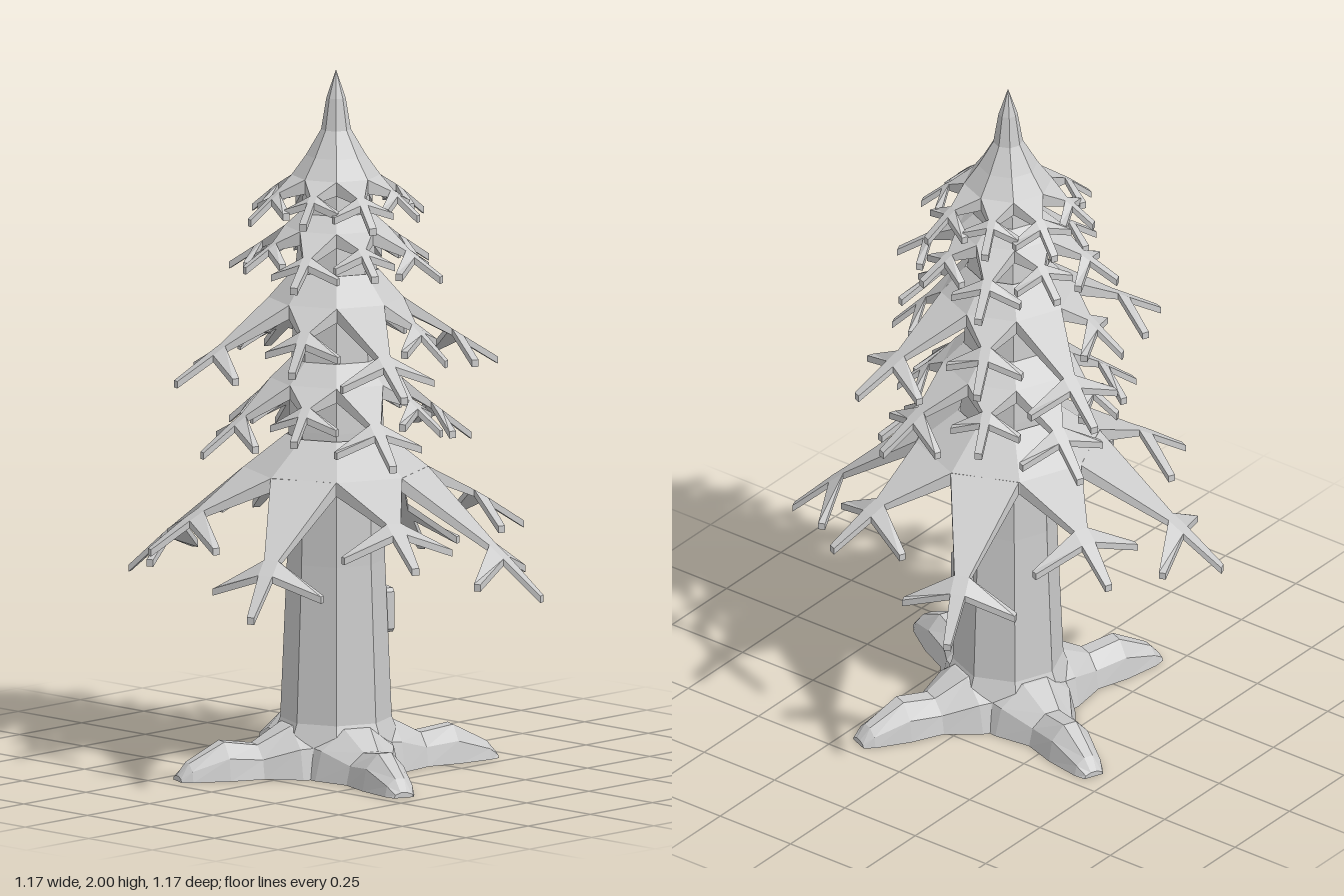
import * as THREE from 'three';

const material = new THREE.MeshStandardMaterial({ color: 0xcccccc, flatShading: true, side: THREE.DoubleSide });
const EIGHTH = Math.PI / 8;

function add(parent, name, geometry) {
  const mesh = new THREE.Mesh(geometry, material);
  mesh.name = name;
  parent.add(mesh);
  return mesh;
}

// Eight-sided turned part from [radius, height] pairs
function turned(points) {
  return new THREE.LatheGeometry(points.map(p => new THREE.Vector2(...p)), 8);
}

// Wedge-shaped bough along +x that narrows and ends in a three-pronged fork
function boughGeometry({ skirt, y, fork, forkY, tip, tipY, span }) {
  const base = skirt * Math.cos(EIGHTH), half = skirt * Math.sin(EIGHTH);
  const w = span * 0.13;
  const side = [
    [base, half], [fork - w, w], [fork - 0.009, span], [fork + 0.011, span],
    [fork + w, w], [tip, 0.011],
  ];
  const outline = [...side.map(([u, v]) => [u, -v]), ...side.slice().reverse()];
  const shape = new THREE.Shape(outline.map(p => new THREE.Vector2(...p)));
  const g = new THREE.ExtrudeGeometry(shape, { depth: 1, bevelEnabled: false });
  g.rotateX(Math.PI / 2);
  // Slope the bough down, let the side prongs droop and thin it outwards
  const pos = g.attributes.position;
  for (let i = 0; i < pos.count; i++) {
    const u = pos.getX(i), v = pos.getZ(i);
    const inner = (u - base) / (fork - base), outer = (u - fork) / (tip - fork);
    let top = u < fork ? y + (forkY - y) * inner : forkY + (tipY - forkY) * outer;
    if (u > fork - 0.012 && Math.abs(v) > w * 1.2) top = forkY - span * 0.42;
    const thick = u < base + 0.01 ? 0.04 : 0.02;
    pos.setY(i, top + pos.getY(i) * thick);
  }
  g.computeVertexNormals();
  return g;
}

// Cross-sections [distance, half width, height] joined into a tapering root
function rootGeometry() {
  const sections = [
    [0.08, 0.15, 0.15], [0.155, 0.13, 0.14], [0.25, 0.075, 0.09],
    [0.35, 0.068, 0.105], [0.455, 0.045, 0.05], [0.485, 0.03, 0.015],
  ];
  const verts = [], index = [];
  for (const [x, w, h] of sections) {
    verts.push(x, 0, -w, x, h * 0.6, -w * 0.85, x, h, -w * 0.3, x, h, w * 0.3, x, h * 0.6, w * 0.85, x, 0, w);
  }
  for (let s = 0; s < sections.length - 1; s++) {
    for (let k = 0; k < 6; k++) {
      const a = s * 6 + k, b = s * 6 + (k + 1) % 6;
      index.push(a, b, a + 6, b, b + 6, a + 6);
    }
  }
  const end = (sections.length - 1) * 6;
  for (let k = 1; k < 5; k++) index.push(end, end + k, end + k + 1);
  const g = new THREE.BufferGeometry();
  g.setAttribute('position', new THREE.Float32BufferAttribute(verts, 3));
  g.setIndex(index);
  g.computeVertexNormals();
  return g;
}

// Chamfered rectangle used by the window frame
function chamfered(Type, w, h, c) {
  const p = [[-w + c, -h], [w - c, -h], [w, -h + c], [w, h - c], [w - c, h], [-w + c, h], [-w, h - c], [-w, -h + c]];
  return new Type(p.map(q => new THREE.Vector2(...q)));
}

export function createModel() {
  const tree = new THREE.Group();
  tree.name = 'tree';

  // Trunk, with a flared foot
  add(tree, 'trunk', turned([
    [0, 0], [0.2, 0], [0.185, 0.08], [0.157, 0.15], [0.138, 0.6], [0.134, 0.98],
    [0.115, 1.43], [0.085, 1.72], [0, 1.72],
  ]));

  // Four spreading roots
  const root = rootGeometry();
  for (let i = 0; i < 4; i++) {
    add(tree, 'root', root).rotation.y = -(EIGHTH + i * Math.PI / 2);
  }

  // Tiers of foliage: a collar round the trunk carrying sets of four boughs
  const tiers = [
    { top: 0.96, neck: 0.14, skirt: 0.26, y: 0.865, sets: [
      { turn: -0.97, fork: 0.497, forkY: 0.66, tip: 0.627, tipY: 0.54, span: 0.165 },
      { turn: 1, fork: 0.435, forkY: 0.76, tip: 0.57, tipY: 0.67, span: 0.165 },
    ] },
    { top: 1.18, neck: 0.125, skirt: 0.185, y: 1.12, sets: [
      { turn: 1, fork: 0.30, forkY: 1.02, tip: 0.41, tipY: 0.935, span: 0.13 },
      { turn: -1, fork: 0.24, forkY: 1.06, tip: 0.32, tipY: 0.99, span: 0.1 },
    ] },
    { top: 1.43, neck: 0.12, skirt: 0.19, y: 1.35, sets: [
      { turn: 1, fork: 0.365, forkY: 1.225, tip: 0.49, tipY: 1.145, span: 0.14 },
      { turn: -1, fork: 0.25, forkY: 1.275, tip: 0.335, tipY: 1.19, span: 0.11 },
    ] },
    { top: 1.6, neck: 0.095, skirt: 0.145, y: 1.555, sets: [
      { turn: -1, fork: 0.23, forkY: 1.49, tip: 0.32, tipY: 1.43, span: 0.1 },
      { turn: 1, fork: 0.2, forkY: 1.51, tip: 0.28, tipY: 1.455, span: 0.09 },
    ] },
    { top: 1.77, neck: 0.075, skirt: 0.125, y: 1.7, sets: [
      { turn: 1, fork: 0.19, forkY: 1.655, tip: 0.265, tipY: 1.59, span: 0.09 },
      { turn: -1, fork: 0.18, forkY: 1.66, tip: 0.25, tipY: 1.6, span: 0.08 },
    ] },
  ];
  for (const { top, neck, skirt, y, sets } of tiers) {
    const tier = new THREE.Group();
    tier.name = 'foliageTier';
    tree.add(tier);
    add(tier, 'collar', turned([[neck - 0.02, y - 0.03], [skirt, y - 0.04], [skirt, y], [neck, top]]));
    for (const set of sets) {
      const bough = boughGeometry({ skirt, y, ...set });
      for (let i = 0; i < 4; i++) {
        add(tier, 'bough', bough).rotation.y = -(set.turn * EIGHTH + i * Math.PI / 2);
      }
    }
  }

  // Pointed crown
  add(tree, 'crown', turned([[0.09, 1.7], [0.1, 1.73], [0.042, 1.83], [0.027, 1.92], [0, 2]]));

  // Small framed window on one face of the trunk
  const windowGroup = new THREE.Group();
  windowGroup.name = 'window';
  windowGroup.position.set(0.116, 0.45, 0.054);
  windowGroup.rotation.y = Math.PI / 2 - EIGHTH;
  tree.add(windowGroup);
  const frame = chamfered(THREE.Shape, 0.042, 0.063, 0.01);
  frame.holes.push(chamfered(THREE.Path, 0.027, 0.045, 0.01));
  add(windowGroup, 'windowFrame', new THREE.ExtrudeGeometry(frame, { depth: 0.03, bevelEnabled: false }));
  add(windowGroup, 'windowPane', new THREE.BoxGeometry(0.06, 0.095, 0.03));
  add(windowGroup, 'windowBar', new THREE.BoxGeometry(0.014, 0.05, 0.02)).position.z = 0.018;

  return tree;
}
